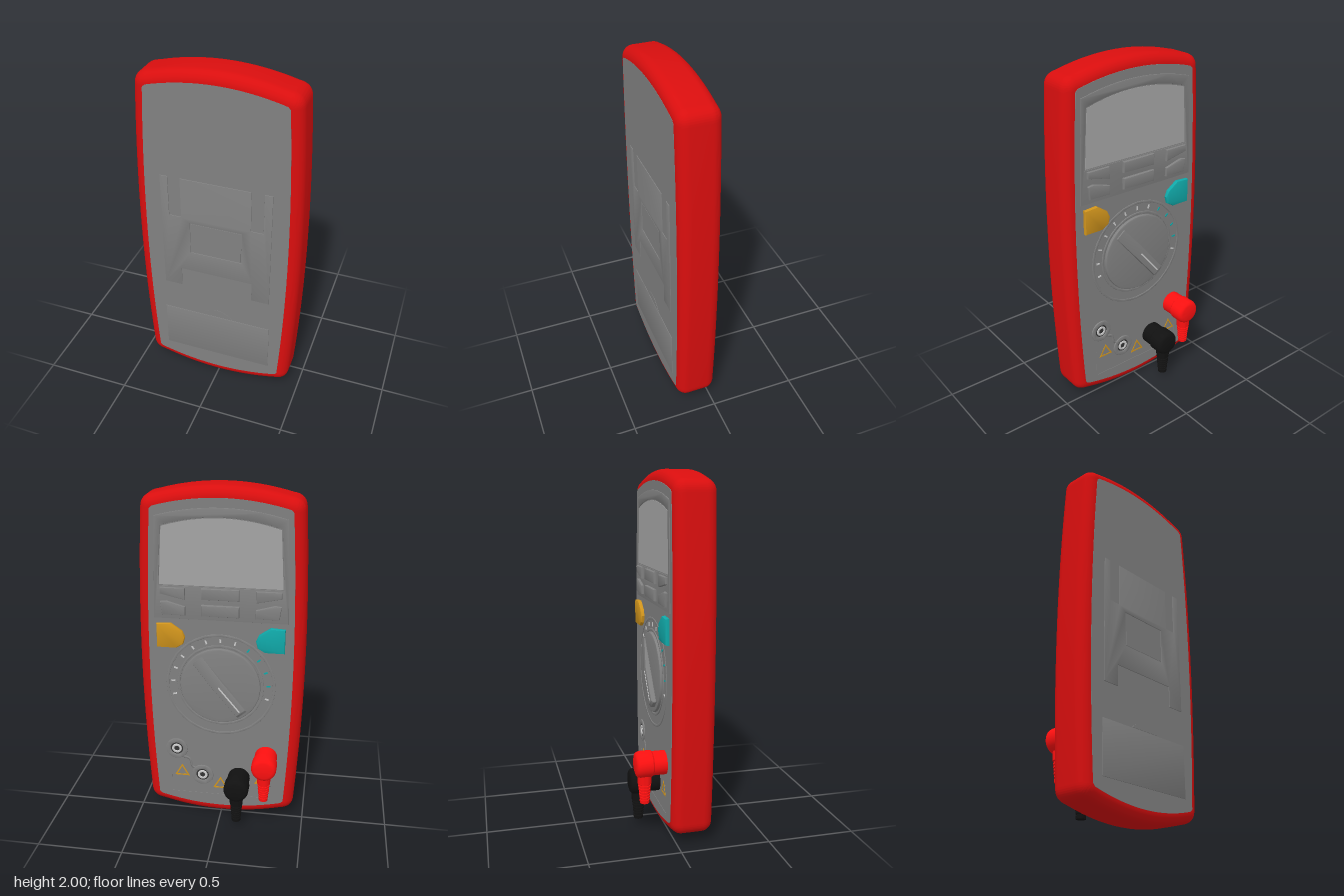
import * as THREE from 'three';
import { toCreasedNormals } from 'three/addons/utils/BufferGeometryUtils.js';

const GREY = 0xcccccc, PANEL = 0x808080, RED = 0xd90e0e, PLUG_RED = 0xff1010, BLACK = 0x111111;
const YELLOW = 0xd0941c, CYAN = 0x10a8a8;
const FACE = -0.03, REAR = 0.2; // the instrument face looks to -z, the stand side to +z

export function createModel() {
  const root = new THREE.Group();
  const mats = {};
  const mat = (c) => (mats[c] ??= new THREE.MeshStandardMaterial({ color: c }));

  function add(name, geo, color, parent = root) {
    const mesh = new THREE.Mesh(geo, mat(color));
    mesh.name = name;
    parent.add(mesh);
    return mesh;
  }

  // Solid between two z planes, with a rounded edge that stays inside the outline
  function slab(name, shape, z0, z1, color, bevel = 0, segs = 2) {
    const geo = new THREE.ExtrudeGeometry(shape, {
      depth: z1 - z0 - 2 * bevel, bevelEnabled: bevel > 0, bevelThickness: bevel,
      bevelSize: bevel, bevelOffset: -bevel, bevelSegments: segs, curveSegments: 20,
    });
    geo.translate(0, 0, z0 + bevel);
    return add(name, toCreasedNormals(geo, 0.6), color);
  }
  const raised = (name, shape, h, color, bevel = 0.004) =>
    slab(name, shape, FACE - h, FACE + 0.01, color, bevel);

  const poly = (pts) => new THREE.Shape(pts.map((p) => new THREE.Vector2(p[0], p[1])));
  const mirrorX = (pts, s) => pts.map(([x, y]) => [x * s, y]);
  const rect = (x, y, w, h) => poly([
    [x - w / 2, y - h / 2], [x + w / 2, y - h / 2], [x + w / 2, y + h / 2], [x - w / 2, y + h / 2]]);
  const ring = (x, y, r, inner) => {
    const s = new THREE.Shape().absarc(x, y, r, 0, Math.PI * 2);
    if (inner) s.holes.push(new THREE.Path().absarc(x, y, inner, 0, Math.PI * 2, true));
    return s;
  };

  // Barrel-sided outline with bowed ends; i moves it inwards, r is the corner cut
  function outline(i, r) {
    const w = 0.44 - i, t = 1.95 - i, m = 0.5 - i, c = 2.05 - i, k = w - r, j = t - r;
    const s = new THREE.Shape();
    s.moveTo(w, 2 - j);
    s.quadraticCurveTo(m, 1, w, j);
    s.quadraticCurveTo(w - 0.003, t - 0.01, k, t);
    s.quadraticCurveTo(0, c, -k, t);
    s.quadraticCurveTo(-w + 0.003, t - 0.01, -w, j);
    s.quadraticCurveTo(-m, 1, -w, 2 - j);
    s.quadraticCurveTo(-w + 0.003, 2 - t + 0.01, -k, 2 - t);
    s.quadraticCurveTo(0, 2 - c, k, 2 - t);
    s.quadraticCurveTo(w - 0.003, 2 - t + 0.01, w, 2 - j);
    return s;
  }

  // Rubber holster and the two flat panels
  slab('holster', outline(0, 0.075), FACE, REAR, RED, 0.06, 8);
  slab('rearPanel', outline(0.06, 0.015), REAR - 0.02, REAR + 0.001, PANEL);
  slab('facePanel', outline(0.06, 0.015), FACE - 0.003, FACE + 0.02, PANEL);

  // Tilting stand with a recessed rectangle
  const half = [[0.315, 0.66], [0.315, 1.385], [0.27, 1.385], [0.27, 1.14], [0.2, 1.14], [0.2, 1.385]];
  const stand = poly([[0.21, 0.78], [0.21, 0.66], ...half,
    ...mirrorX(half, -1).reverse(), [-0.21, 0.66], [-0.21, 0.78]]);
  stand.holes.push(rect(0, 1.01, 0.3, 0.2));
  slab('tiltStand', stand, REAR - 0.01, REAR + 0.005, PANEL, 0.003);
  slab('standInset', rect(0, 1.01, 0.29, 0.19), REAR - 0.01, REAR + 0.003, PANEL);

  // Battery cover with finger tab
  slab('batteryCover', rect(0, 0.317, 0.645, 0.295), REAR - 0.01, REAR + 0.004, PANEL, 0.002);
  const tab = new THREE.Shape();
  tab.moveTo(0.1, 0.468);
  tab.quadraticCurveTo(0, 0.565, -0.1, 0.468);
  slab('coverTab', tab, REAR - 0.01, REAR + 0.003, PANEL);

  // Display window and its frame
  function window_(w, bottom, side, crown) {
    const s = new THREE.Shape();
    s.moveTo(-w, bottom);
    s.lineTo(w, bottom);
    s.lineTo(w - 0.02, side);
    s.quadraticCurveTo(0, crown, -w + 0.02, side);
    return s;
  }
  const frame = window_(0.375, 1.27, 1.84, 1.94);
  frame.holes.push(window_(0.345, 1.46, 1.79, 1.89));
  raised('displayFrame', frame, 0.007, PANEL, 0.002);
  raised('display', window_(0.34, 1.465, 1.785, 1.885), 0.005, 0xa4a4a4, 0);

  // Push buttons: centre pair, tapered side pairs, two coloured keys
  for (const y of [1.423, 1.328]) raised('centreButton', rect(0, y, 0.21, 0.064), 0.025, PANEL, 0.007);
  const upper = [[0.195, 1.385], [0.335, 1.415], [0.335, 1.452], [0.195, 1.452]];
  const lower = [[0.195, 1.295], [0.325, 1.295], [0.335, 1.37], [0.3, 1.375], [0.195, 1.345]];
  const key = [[0.36, 1.24], [0.28, 1.245], [0.215, 1.2], [0.2, 1.165], [0.21, 1.125], [0.25, 1.1], [0.36, 1.1]];
  for (const s of [1, -1]) {
    raised('sideButtonUpper', poly(mirrorX(upper, s)), 0.022, PANEL, 0.006);
    raised('sideButtonLower', poly(mirrorX(lower, s)), 0.022, PANEL, 0.006);
    raised('colouredKey', poly(mirrorX(key, s)), 0.025, s > 0 ? YELLOW : CYAN, 0.008);
  }

  // Rotary selector: surround, dial, sloping grip and scale marks
  const DY = 0.875;
  raised('dialSurround', ring(0, DY, 0.315, 0.3), 0.006, PANEL, 0.002);
  raised('dialRim', ring(0, DY, 0.25, 0.236), 0.008, PANEL, 0.002);
  raised('dial', ring(0, DY, 0.23), 0.02, PANEL, 0.006);
  const grip = new THREE.Shape();
  grip.moveTo(-0.205, 0);
  grip.lineTo(0.205, 0);
  grip.lineTo(0.205, 0.008);
  grip.lineTo(0.02, 0.03);
  grip.lineTo(-0.19, 0.03);
  grip.lineTo(-0.205, 0.02);
  const gripGeo = new THREE.ExtrudeGeometry(grip, {
    depth: 0.056, bevelThickness: 0.007, bevelSize: 0.005, bevelOffset: -0.005, bevelSegments: 2 });
  gripGeo.translate(0, 0, -0.028).rotateX(-Math.PI / 2).rotateZ(0.88);
  add('dialGrip', toCreasedNormals(gripGeo, 0.5), PANEL).position.set(0, DY, FACE - 0.02);
  const pointer = add('dialPointer', new THREE.BoxGeometry(0.19, 0.008, 0.004), GREY);
  pointer.position.set(-0.055, DY - 0.066, FACE - 0.05);
  pointer.rotation.z = 0.88;
  for (let i = 0; i < 13; i++) {
    const a = -0.25 + (i / 12) * 3.64;
    const mark = add('scaleMark', new THREE.BoxGeometry(0.022, 0.009, 0.004),
      i > 12 ? GREY : a > 1.9 && a < 3.3 ? CYAN : GREY);
    mark.position.set(0.275 * Math.cos(a), DY + 0.275 * Math.sin(a), FACE - 0.004);
    mark.rotation.z = a;
  }

  // Open sockets joined by a curved strip
  const sockets = [[0.265, 0.44], [0.11, 0.27]];
  const strip = new THREE.CatmullRomCurve3([[0.25, 0.39], [0.19, 0.375], [0.17, 0.32], [0.13, 0.31]]
    .map(([x, y]) => new THREE.Vector3(x, y, FACE)));
  add('socketStrip', new THREE.TubeGeometry(strip, 20, 0.008, 6), PANEL);
  for (const [x, y] of sockets) {
    raised('socketCollar', ring(x, y, 0.066, 0.038), 0.01, PANEL, 0.004);
    raised('socketHole', ring(x, y, 0.038), 0.0045, 0x333333, 0);
    raised('socketSleeve', ring(x, y, 0.03, 0.016), 0.009, GREY, 0.002);
  }

  // Warning triangles and the line around the lower area
  for (const [x, y] of [[0.235, 0.28], [0, 0.21], [-0.25, 0.26]]) {
    const tri = (r) => [0, 1, 2].map((i) => {
      const a = Math.PI / 2 + (i * Math.PI * 2) / 3;
      return [x + r * Math.cos(a), y + r * Math.sin(a)];
    });
    const s = poly(tri(0.052));
    s.holes.push(poly(tri(0.036)));
    raised('warningTriangle', s, 0.005, YELLOW, 0);
  }
  raised('lowerLine', rect(0, 0.135, 0.6, 0.006), 0.005, PANEL, 0);
  for (const s of [1, -1]) raised('lowerSideLine', rect(0.3 * s, 0.22, 0.006, 0.17), 0.005, PANEL, 0);

  // Angled test plugs with ribbed strain relief
  const lathe = (pts) => toCreasedNormals(
    new THREE.LatheGeometry(pts.map(([r, y]) => new THREE.Vector2(r, y)), 32), 0.6);
  const headGeo = lathe([[0, 0], [0.066, 0], [0.066, 0.075], [0.073, 0.083], [0.073, 0.145],
    [0.069, 0.158], [0.061, 0.167], [0.048, 0.171], [0, 0.172]]).rotateX(-Math.PI / 2);
  const tail = [[0, -0.225], [0.026, -0.225]];
  for (let i = 0; i < 6; i++) {
    const y = -0.215 + i * 0.017, r = 0.027 + i * 0.0016;
    tail.push([r, y], [r, y + 0.009], [r - 0.005, y + 0.01], [r - 0.005, y + 0.016]);
  }
  tail.push([0.038, -0.11], [0.043, 0], [0, 0]);
  const tailGeo = lathe(tail);
  for (const [name, x, y, color] of [['redPlug', -0.272, 0.43, PLUG_RED], ['blackPlug', -0.112, 0.27, BLACK]]) {
    const plug = new THREE.Group();
    plug.name = name;
    plug.position.set(x, y, FACE);
    add('plugHead', headGeo, color, plug);
    add('strainRelief', tailGeo, color, plug).position.z = -0.118;
    root.add(plug);
  }
  return root;
}
